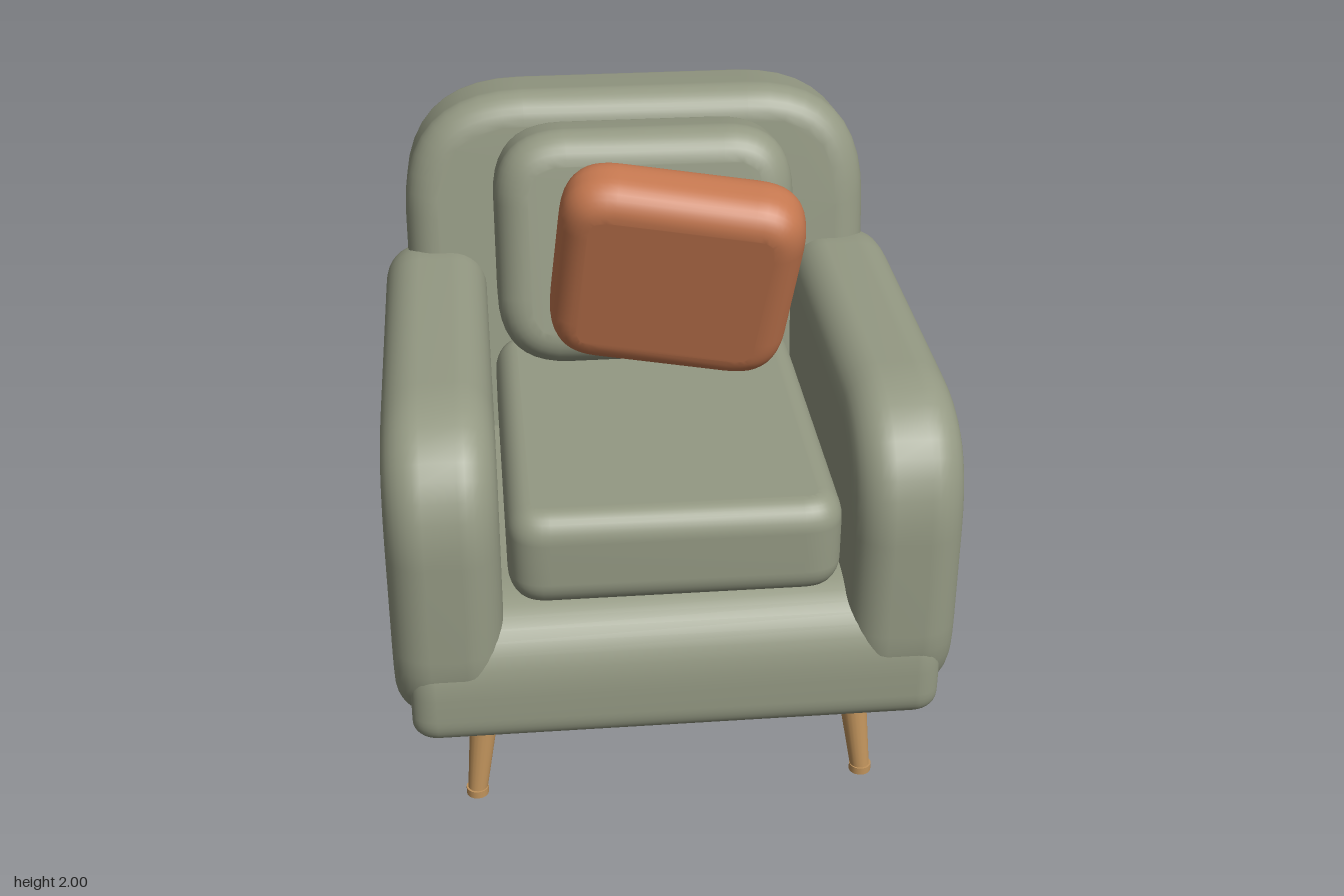
import * as THREE from 'three';
import { mergeVertices } from 'three/addons/utils/BufferGeometryUtils.js';

// Closed outline from corner points [x, y, rounding]
function roundedOutline(corners) {
  const shape = new THREE.Shape();
  const n = corners.length;
  corners.forEach(([x, y, r], i) => {
    const p = new THREE.Vector2(x, y);
    const toward = ([a, b]) => new THREE.Vector2(a, b).sub(p).setLength(r).add(p);
    const a = toward(corners[(i + n - 1) % n]);
    const b = toward(corners[(i + 1) % n]);
    if (i === 0) shape.moveTo(a.x, a.y);
    else shape.lineTo(a.x, a.y);
    shape.quadraticCurveTo(x, y, b.x, b.y);
  });
  shape.closePath();
  return shape;
}

// Upholstered block: outline extruded along z with soft edges and smooth normals
function softBlock(corners, depth, edge, edgeDepth = edge) {
  let geo = new THREE.ExtrudeGeometry(roundedOutline(corners), {
    depth: depth - 2 * edgeDepth, curveSegments: 10,
    bevelEnabled: true, bevelSize: edge, bevelOffset: -edge,
    bevelThickness: edgeDepth, bevelSegments: 8,
  });
  geo.translate(0, 0, -(depth - 2 * edgeDepth) / 2);
  geo.deleteAttribute('uv');
  geo.deleteAttribute('normal');
  geo = mergeVertices(geo, 1e-4);
  geo.computeVertexNormals();
  return geo;
}

const rect = (w, h, top, bottom = top) => [
  [-w / 2, -h / 2, bottom], [w / 2, -h / 2, bottom], [w / 2, h / 2, top], [-w / 2, h / 2, top],
];

export function createModel() {
  const chair = new THREE.Group();
  chair.name = 'armchair';

  const fabric = new THREE.MeshStandardMaterial({ color: 0x949983 });
  fabric.name = 'sage fabric';
  const rust = new THREE.MeshStandardMaterial({ color: 0xc4774f });
  rust.name = 'rust fabric';
  const wood = new THREE.MeshStandardMaterial({ color: 0xc0935c });
  wood.name = 'light wood';

  const add = (name, geo, mat, x = 0, y = 0, z = 0, parent = chair) => {
    const mesh = new THREE.Mesh(geo, mat);
    mesh.name = name;
    mesh.position.set(x, y, z);
    parent.add(mesh);
    return mesh;
  };

  // Base with a rolled front edge: side outline (z, y) swept across x
  const base = softBlock([
    [-0.87, 0.39, 0.09], [0.93, 0.39, 0.1], [0.93, 0.85, 0.28], [-0.86, 0.82, 0.09],
  ], 1.68, 0.06, 0.08);
  base.rotateY(-Math.PI / 2);
  add('base', base, fabric);

  // Arms
  const arm = softBlock([
    [-0.82, 0.39, 0.33], [0.93, 0.39, 0.33], [0.93, 1.475, 0.42], [-0.82, 1.475, 0.42],
  ], 0.35, 0.12, 0.12);
  arm.rotateY(-Math.PI / 2);
  add('leftArm', arm, fabric, 0.715);
  add('rightArm', arm, fabric, -0.715);

  // Backrest, leaning back
  const back = add('backrest', softBlock(rect(1.62, 1.44, 0.42, 0.2), 0.43, 0.11), fabric, 0, 1.27, -0.64);
  back.rotation.x = -0.15;

  // Loose cushions
  const seat = softBlock(rect(1.04, 1.3, 0.13), 0.32, 0.075, 0.09);
  seat.rotateX(-Math.PI / 2);
  add('seatCushion', seat, fabric, 0, 1.02, 0.23);

  const backCushion = add('backCushion', softBlock(rect(1.01, 0.8, 0.24), 0.35, 0.11), fabric, 0, 1.57, -0.29);
  backCushion.rotation.x = -0.2;

  // Throw pillow, tipped forward and turned
  const pillow = add('throwPillow', softBlock([
    [-0.4, -0.37, 0.18], [0.4, -0.37, 0.18], [0.41, 0.36, 0.18], [-0.4, 0.36, 0.18],
  ], 0.26, 0.1, 0.11), rust, 0.08, 1.57, -0.04);
  pillow.rotation.set(0.27, -0.14, -0.09);

  // Splayed tapered legs with a small foot ring
  const up = new THREE.Vector3(0, 1, 0);
  for (const sx of [1, -1]) {
    for (const [end, topZ, footZ] of [['front', 0.625, 0.675], ['back', -0.61, -0.655]]) {
      const foot = new THREE.Vector3(sx * 0.65, 0.01, footZ);
      const top = new THREE.Vector3(sx * 0.6, 0.43, topZ);
      const dir = top.clone().sub(foot);
      const leg = new THREE.Group();
      leg.name = `${end}${sx > 0 ? 'Left' : 'Right'}Leg`;
      chair.add(leg);
      const mid = foot.clone().add(top).multiplyScalar(0.5);
      const post = add('legPost', new THREE.CylinderGeometry(0.054, 0.032, dir.length(), 20), wood, mid.x, mid.y, mid.z, leg);
      post.quaternion.setFromUnitVectors(up, dir.normalize());
      add('footRing', new THREE.CylinderGeometry(0.037, 0.037, 0.026, 20), wood, foot.x, 0.013, foot.z, leg);
    }
  }
  return chair;
}
